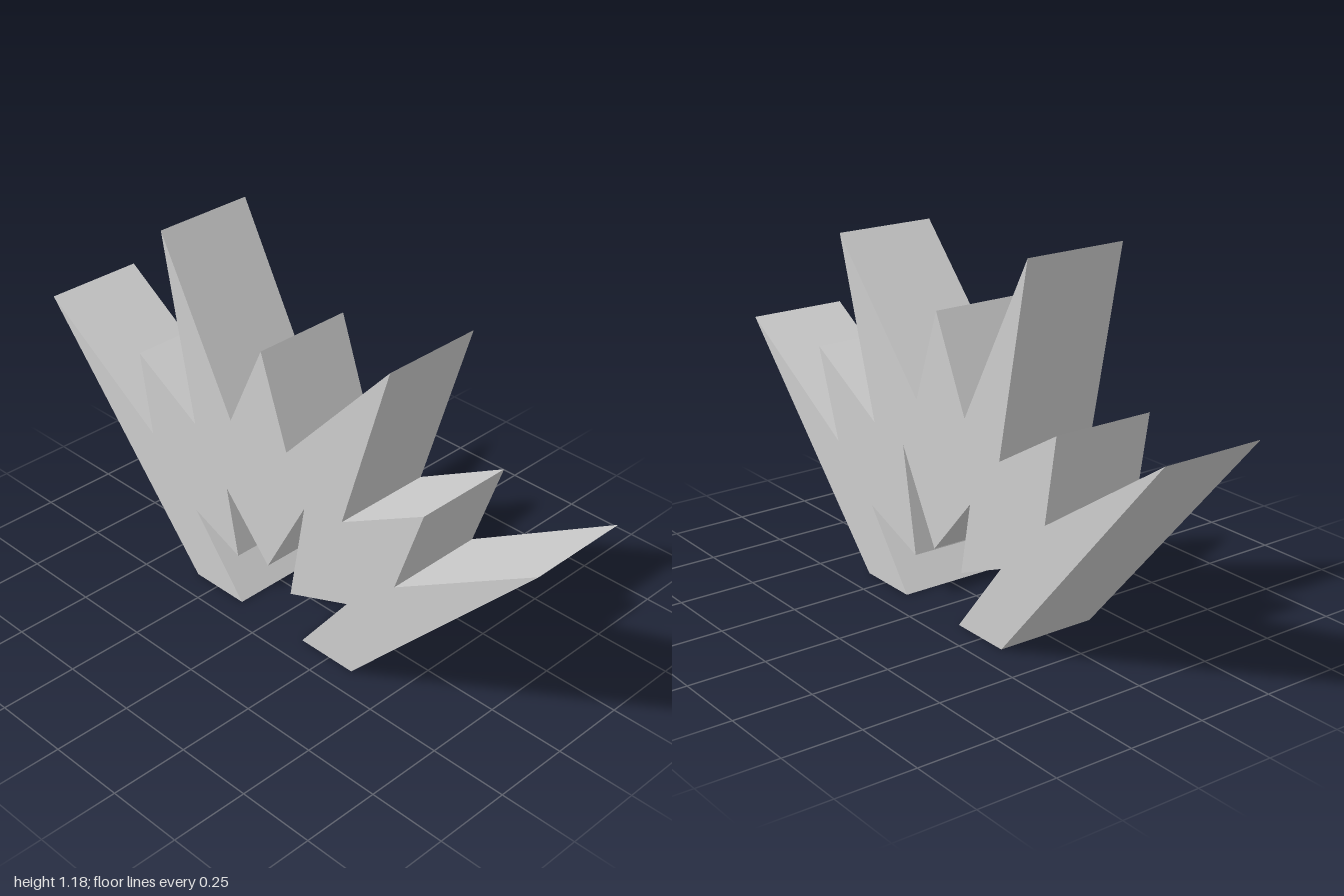
import * as THREE from 'three';

const DEPTH = 0.333;

// Outer spikes, from the right foot over the top to the left foot
const crown = [
  [-0.342, 0], [-1, 0.757], [-0.532, 0.446], [-0.577, 0.718], [-0.328, 0.572],
  [-0.447, 1.178], [-0.166, 0.655], [-0.031, 0.943], [0.071, 0.65], [0.467, 1.078],
  [0.296, 0.518], [0.604, 0.688], [0.504, 0.398], [1, 0.695], [0.342, 0],
];

// Inner notches, back from the left foot to the right foot
const notches = [
  [0.134, 0], [0.32, 0.239], [0.084, 0.15], [0.144, 0.49], [-0.014, 0.204],
  [-0.192, 0.402], [-0.148, 0.172], [-0.338, 0.251], [-0.136, 0],
];

export function createModel() {
  const group = new THREE.Group();
  group.name = 'spikyBurst';

  // Flat jagged burst with straight sides
  const outline = new THREE.Shape([...crown, ...notches].map(([x, y]) => new THREE.Vector2(x, y)));
  const geometry = new THREE.ExtrudeGeometry(outline, { depth: DEPTH, bevelEnabled: false });
  geometry.translate(0, 0, -DEPTH / 2);

  const material = new THREE.MeshStandardMaterial({ color: 0xcccccc, flatShading: true });
  const burst = new THREE.Mesh(geometry, material);
  burst.name = 'burstPlate';
  group.add(burst);
  return group;
}
